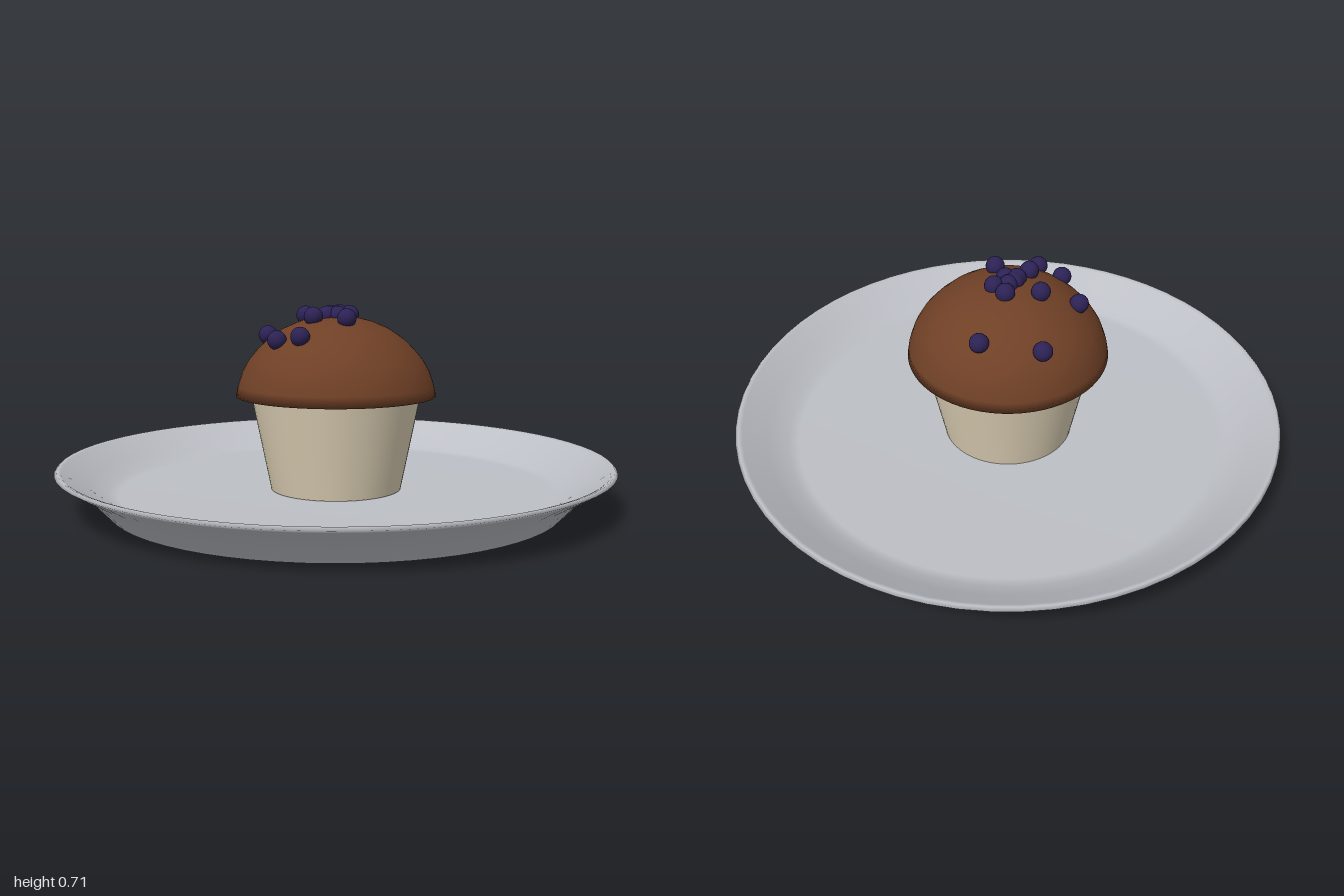
import * as THREE from 'three';

const material = (name, color, side = THREE.FrontSide) => {
  const m = new THREE.MeshStandardMaterial({ color, side });
  m.name = name;
  return m;
};

// Turned part from a profile of [radius, height] points, listed bottom up
function turned(name, profile, mat, segments = 64) {
  const points = profile.map(([r, y]) => new THREE.Vector2(r, y));
  const mesh = new THREE.Mesh(new THREE.LatheGeometry(points, segments), mat);
  mesh.name = name;
  return mesh;
}

export function createModel() {
  const model = new THREE.Group();
  model.name = 'muffinOnPlate';

  const plateGrey = material('plateGrey', 0xbcbfc5);
  const paperCream = material('paperCream', 0xdccfb4, THREE.DoubleSide);
  const cakeBrown = material('cakeBrown', 0x6f4026);
  const berryBlue = material('berryBlue', 0x2c2255);

  // Plate: flat foot, flared wall, thin rim and shallow dish
  model.add(turned('plateFoot', [[0, 0], [0.82, 0]], plateGrey));
  model.add(turned('plate', [
    [0.82, 0], [0.9, 0.085], [0.985, 0.135], [1, 0.145], [0.99, 0.155],
    [0.975, 0.15], [0.89, 0.095], [0.82, 0.058], [0.78, 0.05], [0, 0.05],
  ], plateGrey));

  // Paper cup
  model.add(turned('paperCup', [[0.236, 0.052], [0.305, 0.392]], paperCream));

  // Cake dome, closed underneath
  const dome = [
    [0.36, 0.392], [0.353, 0.43], [0.336, 0.48], [0.312, 0.522], [0.28, 0.56],
    [0.24, 0.598], [0.19, 0.632], [0.13, 0.658], [0.065, 0.674], [0, 0.68],
  ];
  model.add(turned('cakeTop', [[0, 0.392], ...dome], cakeBrown));

  // Height of the dome at a given distance from its axis
  const domeHeight = (r) => {
    const i = dome.findIndex(([radius]) => radius <= r);
    const [r0, y0] = dome[i - 1], [r1, y1] = dome[i];
    return y0 + (y1 - y0) * (r0 - r) / (r0 - r1);
  };

  // Berries half sunk into the dome
  const berries = new THREE.Group();
  berries.name = 'berries';
  const berry = new THREE.SphereGeometry(0.034, 20, 14);
  const spots = [
    [0.03, -0.28], [0.205, -0.157], [-0.203, -0.143], [-0.072, -0.1],
    [0.04, -0.05], [0.05, 0.01], [0.005, -0.01], [-0.025, -0.003],
    [-0.042, 0.01], [-0.01, 0.033], [-0.105, 0.03], [-0.25, 0.04],
    [-0.2, 0.122], [-0.02, 0.122],
  ];
  for (const [x, z] of spots) {
    const mesh = new THREE.Mesh(berry, berryBlue);
    mesh.name = 'berry';
    mesh.position.set(x, Math.min(domeHeight(Math.hypot(x, z)) + 0.017, 0.681), z);
    berries.add(mesh);
  }
  model.add(berries);

  return model;
}
